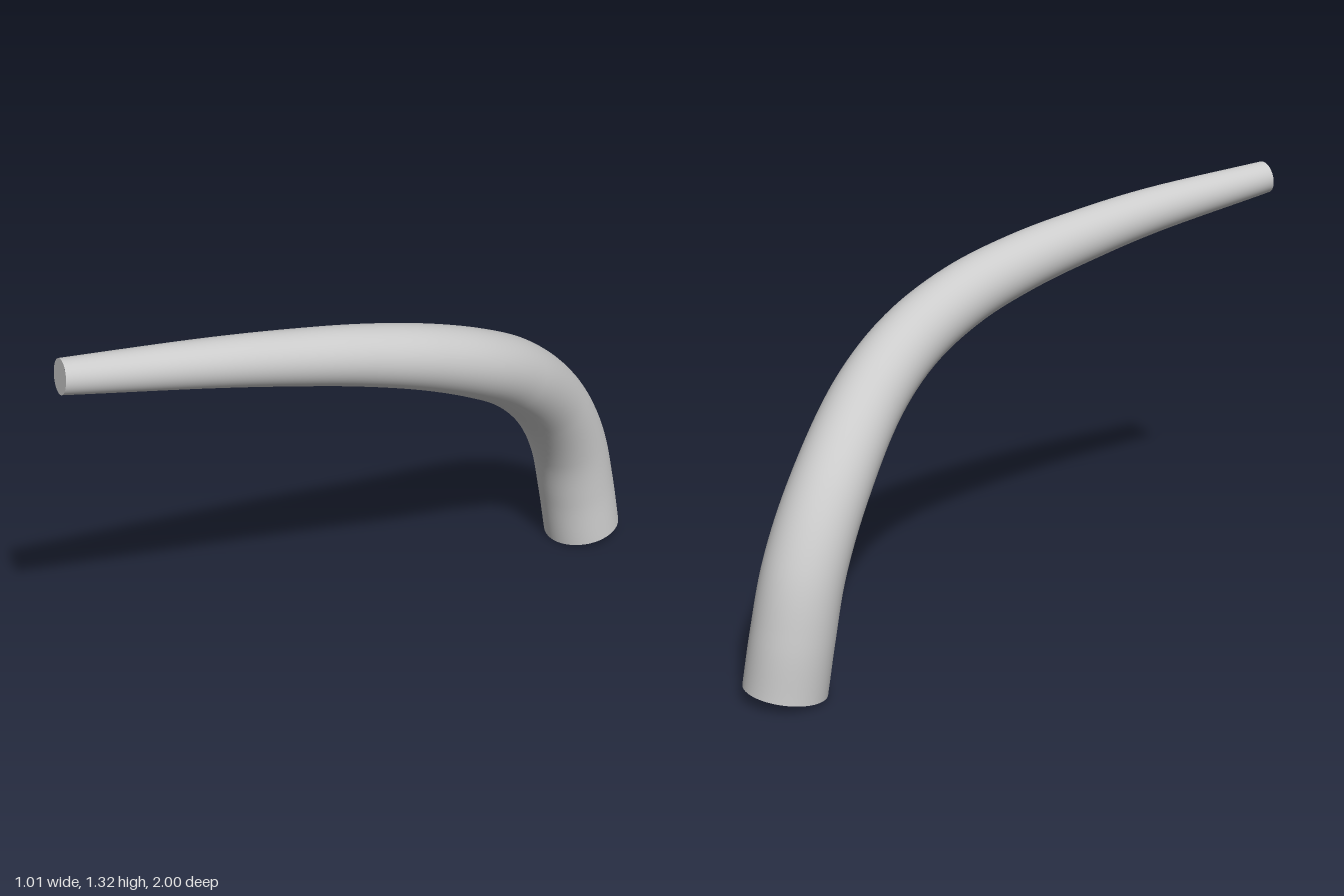
import * as THREE from 'three';

const SEGMENTS = 96;
const SIDES = 48;

// Centreline from the thick base to the thin tip
const path = new THREE.CatmullRomCurve3([
  [0.373, 0.024, -0.871], [0.354, 0.2, -0.847], [0.339, 0.39, -0.795],
  [0.325, 0.59, -0.668], [0.313, 0.82, -0.41], [0.272, 0.95, -0.2],
  [0.19, 1.045, 0], [0.075, 1.115, 0.2], [-0.055, 1.167, 0.4],
  [-0.192, 1.21, 0.6], [-0.464, 1.269, 0.966],
].map(p => new THREE.Vector3(...p)));

// Radius along the length: slow taper first, faster towards the tip
const radiusAt = t => 0.13 - 0.077 * Math.pow(t, 1.7);

// Tube whose rings are scaled about the centreline
function taperedTube() {
  const geometry = new THREE.TubeGeometry(path, SEGMENTS, 1, SIDES, false);
  const position = geometry.attributes.position;
  const v = new THREE.Vector3();
  for (let i = 0; i <= SEGMENTS; i++) {
    const t = i / SEGMENTS;
    const centre = path.getPointAt(t);
    for (let j = 0; j <= SIDES; j++) {
      const k = i * (SIDES + 1) + j;
      v.fromBufferAttribute(position, k).sub(centre).multiplyScalar(radiusAt(t)).add(centre);
      position.setXYZ(k, v.x, v.y, v.z);
    }
  }
  return geometry;
}

// Flat disc closing one end, facing outwards
function endCap(t, name, material) {
  const cap = new THREE.Mesh(new THREE.CircleGeometry(radiusAt(t), SIDES), material);
  const outward = path.getTangentAt(t).multiplyScalar(t === 0 ? -1 : 1);
  cap.quaternion.setFromUnitVectors(new THREE.Vector3(0, 0, 1), outward);
  cap.position.copy(path.getPointAt(t));
  cap.name = name;
  return cap;
}

export function createModel() {
  const material = new THREE.MeshStandardMaterial({ color: 0xcccccc });
  const group = new THREE.Group();
  group.name = 'curvedHorn';

  const body = new THREE.Mesh(taperedTube(), material);
  body.name = 'taperedBody';
  group.add(body, endCap(0, 'baseCap', material), endCap(1, 'tipCap', material));
  return group;
}
